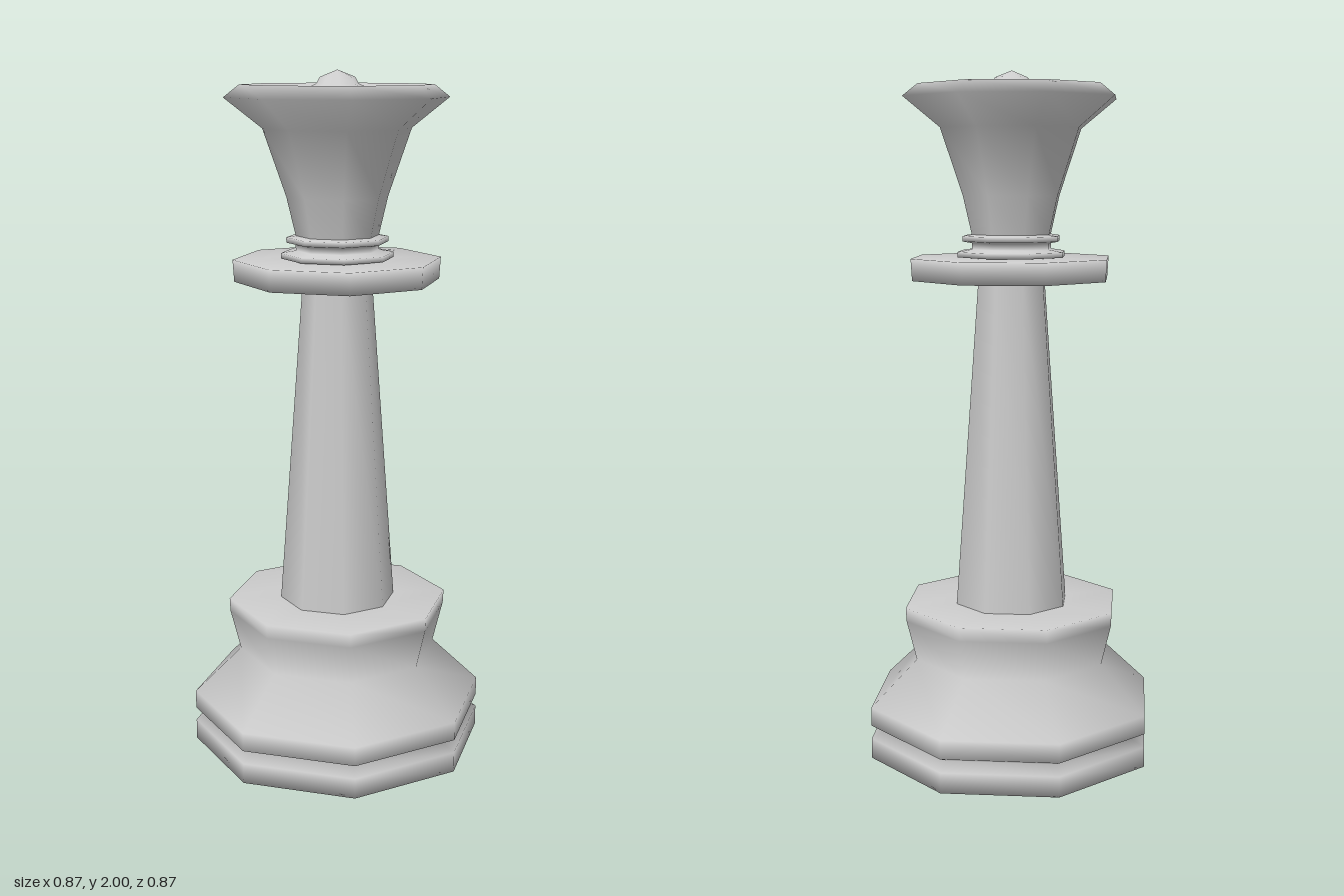
import * as THREE from 'three';

const SIDES = 8;
const material = new THREE.MeshStandardMaterial({ color: 0xcccccc, side: THREE.DoubleSide });

// Eight-sided turned part with smooth normals; profile is [radius, height] from bottom to top
function turned(name, profile) {
  const points = profile.map(([r, y]) => new THREE.Vector2(r, y));
  const mesh = new THREE.Mesh(new THREE.LatheGeometry(points, SIDES), material);
  mesh.name = name;
  return mesh;
}

export function createModel() {
  const group = new THREE.Group();
  group.name = 'chessQueen';

  group.add(
    // Grooved foot flaring into the waisted pedestal
    turned('base', [
      [0, 0], [0.435, 0], [0.435, 0.06], [0.39, 0.08], [0.435, 0.1], [0.435, 0.155],
      [0.295, 0.29], [0.325, 0.41], [0.327, 0.45], [0.16, 0.45],
    ]),
    // Tapered shaft
    turned('column', [[0.172, 0.44], [0.1, 1.42]]),
    // Wide disc on top of the shaft
    turned('collar', [[0.09, 1.41], [0.297, 1.41], [0.301, 1.473], [0.11, 1.473]]),
    // Two thin rings around the neck
    turned('neckRings', [
      [0.11, 1.473], [0.163, 1.475], [0.163, 1.49], [0.12, 1.497], [0.12, 1.515],
      [0.147, 1.52], [0.147, 1.535], [0.115, 1.54],
    ]),
    // Flared head with a hollow top
    turned('crown', [
      [0.115, 1.53], [0.12, 1.54], [0.146, 1.65], [0.212, 1.84], [0.32, 1.925],
      [0.275, 1.96], [0.18, 1.89], [0.13, 1.89],
    ]),
    // Low dome with a pointed knob
    turned('finial', [[0.165, 1.885], [0.13, 1.93], [0.06, 1.962], [0.05, 1.98], [0, 2]]),
  );
  return group;
}
